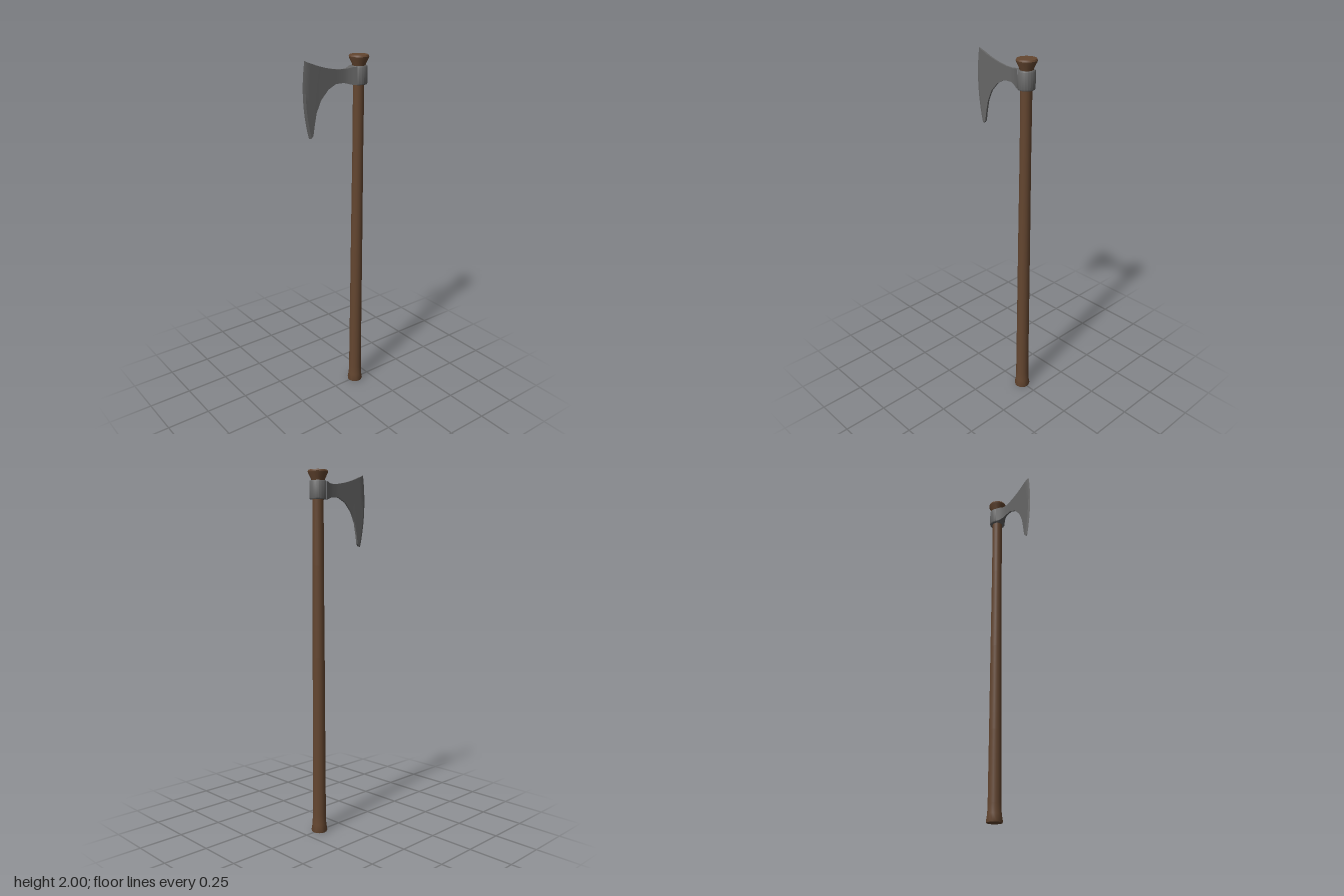
import * as THREE from 'three';
import { toCreasedNormals } from 'three/addons/utils/BufferGeometryUtils.js';

const AXIS_X = 0.152; // the haft stands to one side of the blade

// Solid of revolution from [radius, y] pairs, listed bottom to top
function turned(name, profile, material, sides = 16) {
  const points = profile.map(([r, y]) => new THREE.Vector2(r, y));
  const geometry = toCreasedNormals(new THREE.LatheGeometry(points, sides), 0.6);
  const mesh = new THREE.Mesh(geometry, material);
  mesh.name = name;
  mesh.position.x = AXIS_X;
  return mesh;
}

// Blade lofted from the cutting edge to the socket.
// Station: top x, top y, bottom x, bottom y, half thickness, bow of the edge
function bladeGeometry() {
  const stations = [
    [-0.193, 1.998, -0.172, 1.600, 0.0000, 0.022],
    [-0.178, 1.990, -0.158, 1.602, 0.0055, 0.022],
    [-0.155, 1.982, -0.147, 1.615, 0.0055, 0.018],
    [-0.130, 1.972, -0.138, 1.670, 0.0055, 0.011],
    [-0.100, 1.962, -0.125, 1.730, 0.0050, 0.005],
    [-0.070, 1.953, -0.097, 1.790, 0.0045, 0],
    [-0.035, 1.945, -0.050, 1.840, 0.0045, 0],
    [0.010, 1.937, 0.000, 1.864, 0.0045, 0],
    [0.050, 1.935, 0.050, 1.864, 0.0050, 0],
    [0.075, 1.937, 0.075, 1.857, 0.0100, 0],
    [0.100, 1.943, 0.100, 1.850, 0.0220, 0],
    [0.118, 1.944, 0.118, 1.850, 0.0320, 0],
  ];
  const rows = 10;
  const ring = 2 * (rows + 1);
  const positions = [];
  const index = [];
  stations.forEach(([tx, ty, bx, by, half, bow], i) => {
    for (let k = 0; k < ring; k++) {
      // down the front face, then back up the rear face
      const front = k <= rows;
      const v = (front ? k : ring - 1 - k) / rows;
      positions.push(
        THREE.MathUtils.lerp(tx, bx, v) - bow * 4 * v * (1 - v),
        THREE.MathUtils.lerp(ty, by, v),
        front ? half : -half
      );
      if (i === stations.length - 1) continue;
      const a = i * ring + k;
      const b = i * ring + (k + 1) % ring;
      index.push(a, b, b + ring, a, b + ring, a + ring);
    }
  });
  const geometry = new THREE.BufferGeometry();
  geometry.setAttribute('position', new THREE.Float32BufferAttribute(positions, 3));
  geometry.setIndex(index);
  return toCreasedNormals(geometry, 0.36);
}

export function createModel() {
  const wood = new THREE.MeshStandardMaterial({ color: 0x644630 });
  wood.name = 'brown wood';
  const steel = new THREE.MeshStandardMaterial({ color: 0x676767 });
  steel.name = 'grey steel';

  const axe = new THREE.Group();
  axe.name = 'axe';

  // Haft with flared foot
  axe.add(turned('haft', [
    [0, 0], [0.043, 0], [0.045, 0.008], [0.039, 0.045], [0.037, 0.1],
    [0.035, 0.5], [0.033, 1.0], [0.03, 1.5], [0.03, 1.95],
  ], wood));

  // Flared knob that keeps the head on
  axe.add(turned('knob', [
    [0, 1.935], [0.033, 1.935], [0.037, 1.953], [0.052, 1.983],
    [0.054, 1.992], [0.05, 2], [0, 2],
  ], wood));

  // Head: socket round the haft and the bearded blade
  const head = new THREE.Group();
  head.name = 'head';
  head.add(turned('socket', [
    [0.028, 1.848], [0.043, 1.848], [0.046, 1.853],
    [0.046, 1.94], [0.043, 1.945], [0.028, 1.945],
  ], steel, 20));
  const blade = new THREE.Mesh(bladeGeometry(), steel);
  blade.name = 'blade';
  head.add(blade);
  axe.add(head);

  return axe;
}
